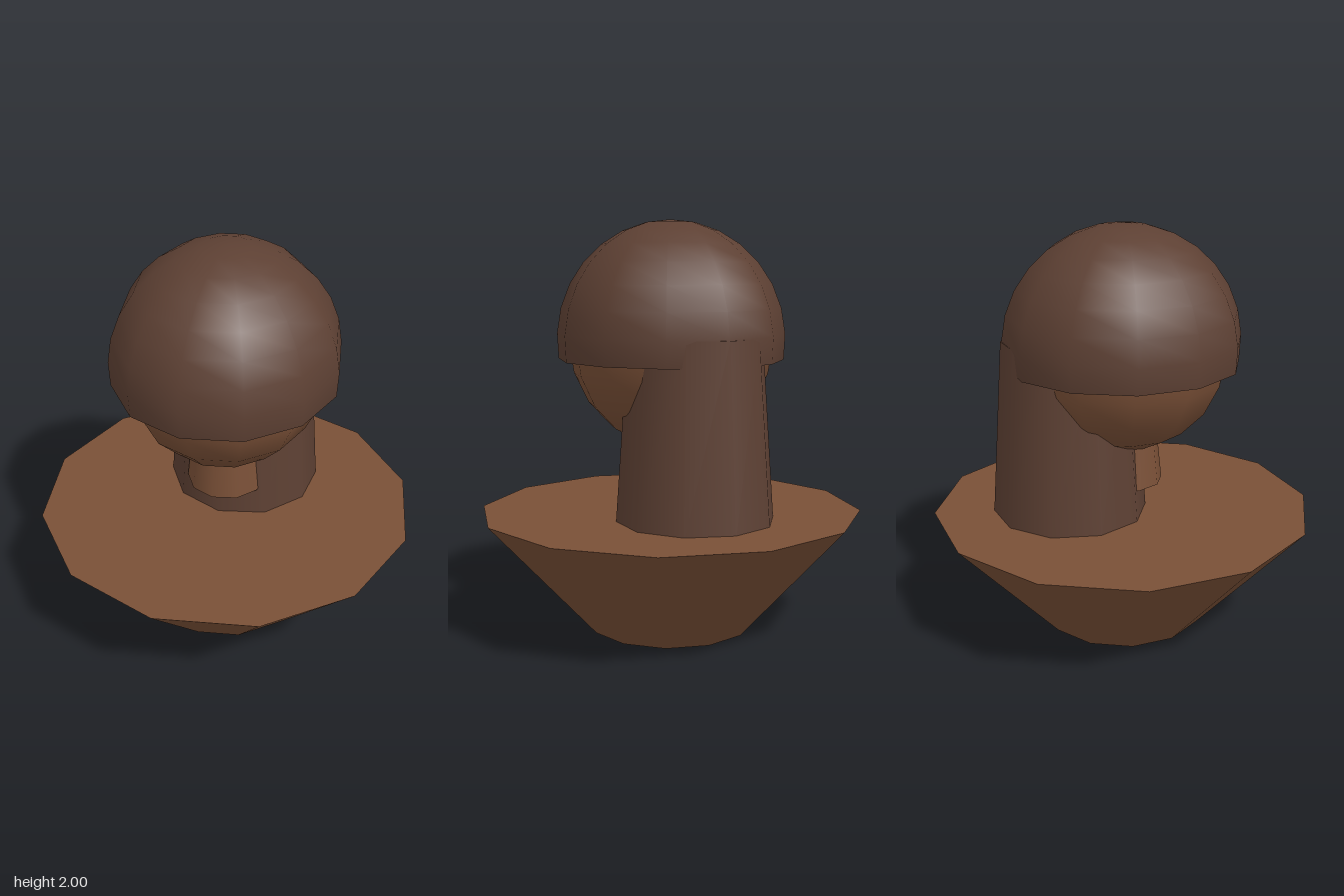
import * as THREE from 'three';

export function createModel() {
  const model = new THREE.Group();
  model.name = 'bust';

  const skin = new THREE.MeshStandardMaterial({ name: 'warm brown', color: 0x7a5037 });
  const hair = new THREE.MeshStandardMaterial({ name: 'dark brown', color: 0x5d4033, side: THREE.DoubleSide });

  const add = (name, geometry, material, y, z = 0) => {
    const mesh = new THREE.Mesh(geometry, material);
    mesh.name = name;
    mesh.position.set(0, y, z);
    model.add(mesh);
    return mesh;
  };

  // Tapered cylinder standing between two heights
  const taper = (name, rTop, rBottom, y0, y1, sides, material, z = 0) =>
    add(name, new THREE.CylinderGeometry(rTop, rBottom, y1 - y0, sides), material, (y0 + y1) / 2, z);

  // Flared shoulders
  taper('shoulders', 0.94, 0.405, 0, 0.585, 12, skin);

  // Short neck under the chin
  taper('neck', 0.163, 0.195, 0.73, 1.03, 10, skin);

  // Head, slightly narrower than deep
  add('head', new THREE.SphereGeometry(0.52, 12, 10), skin, 1.42).scale.x = 0.95;

  // Open cap of hair over the head
  const cap = new THREE.SphereGeometry(0.58, 12, 8, 0, Math.PI * 2, 0, Math.PI * 0.55);
  add('hairCap', cap, hair, 1.42).scale.x = 0.95;

  // Long hair falling behind the neck
  taper('backHair', 0.32, 0.382, 0.56, 1.45, 10, hair, -0.265);

  return model;
}
